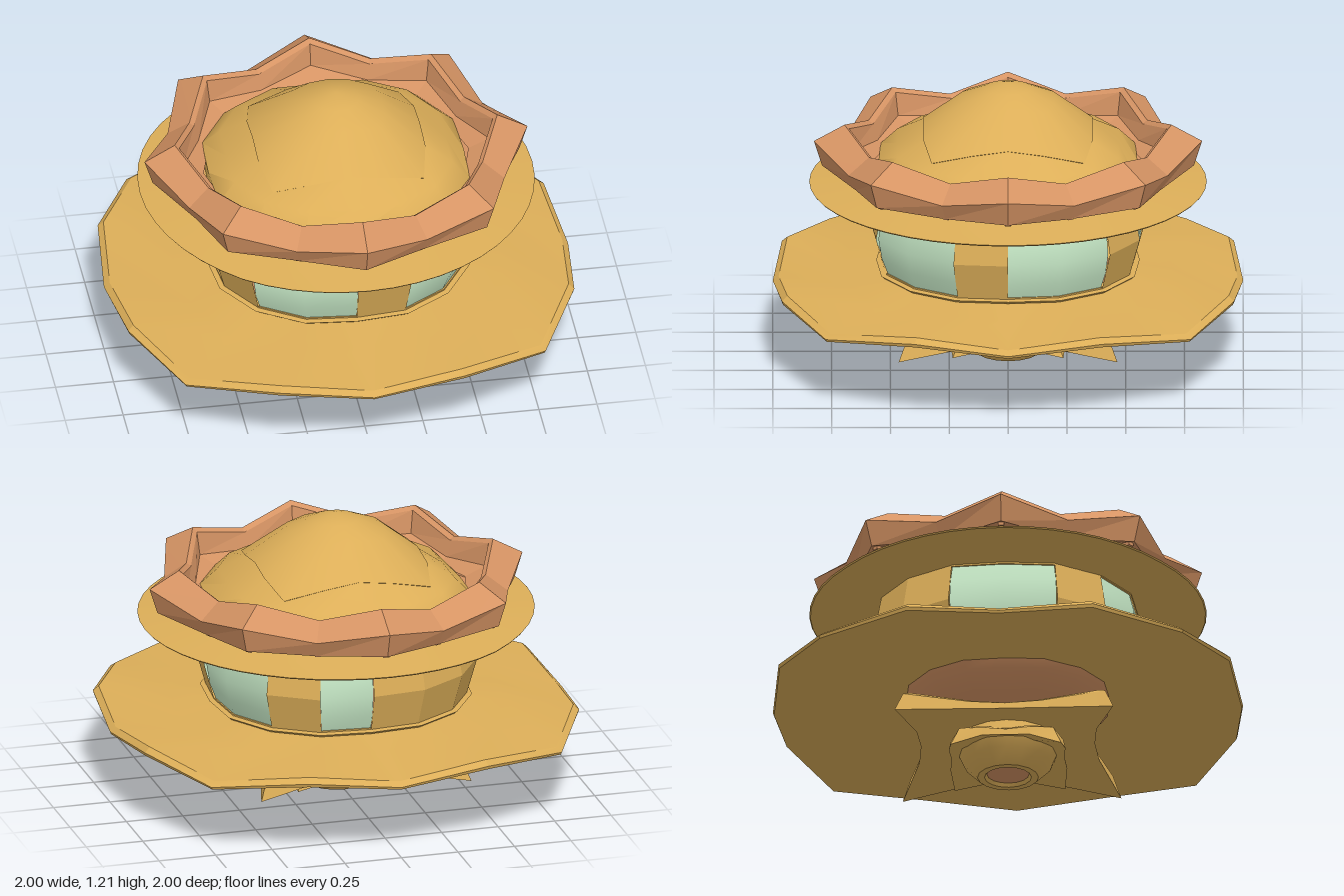
import * as THREE from 'three';
import { toCreasedNormals } from 'three/addons/utils/BufferGeometryUtils.js';

const N = 16;
const mat = (color) => new THREE.MeshStandardMaterial({ color, side: THREE.DoubleSide });
const gold = mat(0xdcae58), copper = mat(0xd69464), glass = mat(0xc6e8c6);

// Ring of 16 corners, given as [r, y] on the axes, at 22.5 degrees and on the diagonals
const ring = (r0, y0, r1 = r0, y1 = y0, r2 = r0, y2 = y0) => [[r0, y0], [r1, y1], [r2, y2], [r1, y1]];
// Slightly squared ring
const soft = (r, y, k = 0.05) => ring(r, y, r * (1 + k * 0.8), y, r * (1 + k), y);
// Eight-pointed ring: points on axes and diagonals, valleys between
const star = (rp, yp, rv, yv) => ring(rp, yp, rv, yv, rp, yp);

// Skins a stack of rings (outside surface listed upwards) between two of the 16 steps
function loft(name, rings, material, crease = 0.5, from = 0, to = N) {
  const pos = [];
  const at = (k, i) => {
    const [r, y] = rings[k][i % 4], t = (i / N) * Math.PI * 2;
    return new THREE.Vector3(r * Math.sin(t), y, r * Math.cos(t));
  };
  const tri = (a, b, c) => {
    const area = b.clone().sub(a).cross(c.clone().sub(a)).length();
    if (area > 1e-7) for (const p of [a, b, c]) pos.push(p.x, p.y, p.z);
  };
  for (let k = 0; k < rings.length - 1; k++) {
    for (let i = from; i < to; i++) {
      const a = at(k, i), b = at(k, i + 1), c = at(k + 1, i + 1), d = at(k + 1, i);
      tri(a, b, c);
      tri(a, c, d);
    }
  }
  const g = new THREE.BufferGeometry();
  g.setAttribute('position', new THREE.Float32BufferAttribute(pos, 3));
  const mesh = new THREE.Mesh(toCreasedNormals(g, crease), material);
  mesh.name = name;
  return mesh;
}

export function createModel() {
  const model = new THREE.Group();
  model.name = 'saucer';

  // Bottom tip with a copper inset
  model.add(loft('tipInset', [ring(0, 0.015), ring(0.09, 0.015)], copper));
  model.add(loft('tip', [
    ring(0.09, 0.015), ring(0.1, 0), ring(0.13, 0), ring(0.19, 0.06), ring(0.22, 0.13), ring(0.2, 0.18),
  ], gold));

  // Two four-cornered skirts, corners on the diagonals
  const skirt = (name, c, ax, yTop, yCorner, yAxis, root) => loft(name, [
    ring(root, yTop - 0.04),
    ring(ax, yAxis - 0.03, ax * 1.12, yAxis - 0.035, c * 1.414, yCorner - 0.085),
    ring(ax - 0.01, yAxis, ax * 1.08, yAxis + 0.005, (c - 0.035) * 1.414, yCorner + 0.005),
    ring(ax - 0.04, yAxis + 0.015, ax, yAxis + 0.02, (c - 0.06) * 1.414, yCorner + 0.02),
    ring(root, yTop),
  ], gold, 0.3);
  model.add(skirt('smallSkirt', 0.235, 0.24, 0.16, 0.135, 0.12, 0.14));
  model.add(skirt('largeSkirt', 0.465, 0.37, 0.22, 0.195, 0.182, 0.18));

  // Copper bowl under the wide disc
  model.add(loft('bowl', [
    ring(0.1, 0.14), soft(0.21, 0.19), soft(0.33, 0.255), soft(0.41, 0.325), soft(0.44, 0.37),
  ], copper, 0.8));

  // Wide wavy disc: low at axes and diagonals, raised between
  model.add(loft('wideDisc', [
    soft(0.42, 0.36),
    ring(0.7, 0.335, 0.72, 0.35, 0.76, 0.335),
    ring(0.995, 0.307, 1.035, 0.345, 1.09, 0.307),
    ring(1.0, 0.318, 1.04, 0.36, 1.096, 0.318),
    ring(0.975, 0.338, 1.015, 0.382, 1.07, 0.338),
    ring(0.7, 0.372, 0.72, 0.39, 0.76, 0.372),
    soft(0.5, 0.402),
  ], gold, 0.3));

  // Collar under the cabin
  model.add(loft('collar', [
    soft(0.5, 0.395), soft(0.545, 0.4), soft(0.56, 0.412), soft(0.525, 0.42), soft(0.5, 0.42),
  ], gold, 0.3));

  // Cabin: gold pillars with a middle crease, curved glass between
  const cabin = new THREE.Group();
  cabin.name = 'cabin';
  for (const [a, b] of [[0, 1], [3, 4], [6, 7], [8, 11], [13, 14]]) {
    cabin.add(loft('pillar', [
      soft(0.5, 0.405), soft(0.535, 0.405), soft(0.583, 0.58), soft(0.55, 0.76), soft(0.5, 0.76),
    ], gold, 0.2, a, b));
  }
  for (const [a, b] of [[1, 3], [4, 6], [7, 8], [11, 13], [14, 16]]) {
    cabin.add(loft('window', [
      soft(0.525, 0.405), soft(0.558, 0.49), soft(0.573, 0.58), soft(0.565, 0.67), soft(0.542, 0.76),
    ], glass, 0.8, a, b));
    // Thin sill and header of each window
    for (const [y, r] of [[0.408, 0.524], [0.745, 0.54]]) {
      cabin.add(loft('windowFrame', [
        soft(r, y), soft(r + 0.014, y), soft(r + 0.014, y + 0.015), soft(r, y + 0.015),
      ], gold, 0.3, a, b));
    }
  }
  model.add(cabin);

  // Thin round brim, lifted a little at the right edge
  const brimCurve = [[0.5, 0.75], [0.65, 0.748], [0.84, 0.758], [0.845, 0.764], [0.7, 0.78], [0.5, 0.805]];
  const brimGeo = new THREE.LatheGeometry(brimCurve.map(([r, y]) => new THREE.Vector2(r, y)), 48);
  const p = brimGeo.attributes.position;
  for (let i = 0; i < p.count; i++) {
    const lift = Math.max(0, -p.getX(i) - 0.5);
    p.setY(i, p.getY(i) + lift * 0.065);
  }
  const brim = new THREE.Mesh(toCreasedNormals(brimGeo.toNonIndexed(), 0.4), gold);
  brim.name = 'brim';
  model.add(brim);

  // Faceted eight-pointed crown: flared outer band and a thin inner wall
  model.add(loft('crownBand', [
    star(0.55, 0.795, 0.55, 0.795),
    star(0.64, 0.825, 0.61, 0.8),
    star(0.66, 0.865, 0.625, 0.845),
    star(0.79, 0.835, 0.7, 0.815),
    star(0.825, 0.945, 0.735, 0.885),
    star(0.695, 1.018, 0.64, 0.955),
    star(0.675, 1.0, 0.62, 0.94),
    star(0.66, 0.9, 0.6, 0.87),
    star(0.57, 0.86, 0.555, 0.85),
  ], copper, 0.05));
  // Struts below the band
  for (let i = 0; i < N; i++) {
    const arm = new THREE.Group();
    const strut = new THREE.Mesh(new THREE.BoxGeometry(0.025, 0.05, i % 2 ? 0.08 : 0.12), copper);
    strut.position.set(0, i % 2 ? 0.835 : 0.85, i % 2 ? 0.655 : 0.71);
    arm.rotation.y = (i / N) * Math.PI * 2;
    arm.name = 'crownStrut';
    arm.add(strut);
    model.add(arm);
  }

  // Dome with a squarish raised cap
  model.add(loft('dome', [
    soft(0.55, 0.79, 0.08), soft(0.55, 0.86, 0.08), soft(0.47, 0.935, 0.1),
    ring(0.35, 1.02, 0.38, 1.0, 0.45, 0.955),
  ], gold, 0.8));
  model.add(loft('domeCap', [
    ring(0.35, 1.015, 0.38, 0.995, 0.45, 0.95),
    ring(0.36, 1.02, 0.39, 1.0, 0.46, 0.955),
    ring(0.2, 1.145, 0.21, 1.14, 0.235, 1.125),
    ring(0.1, 1.185), ring(0, 1.212),
  ], gold, 0.7));

  return model;
}
